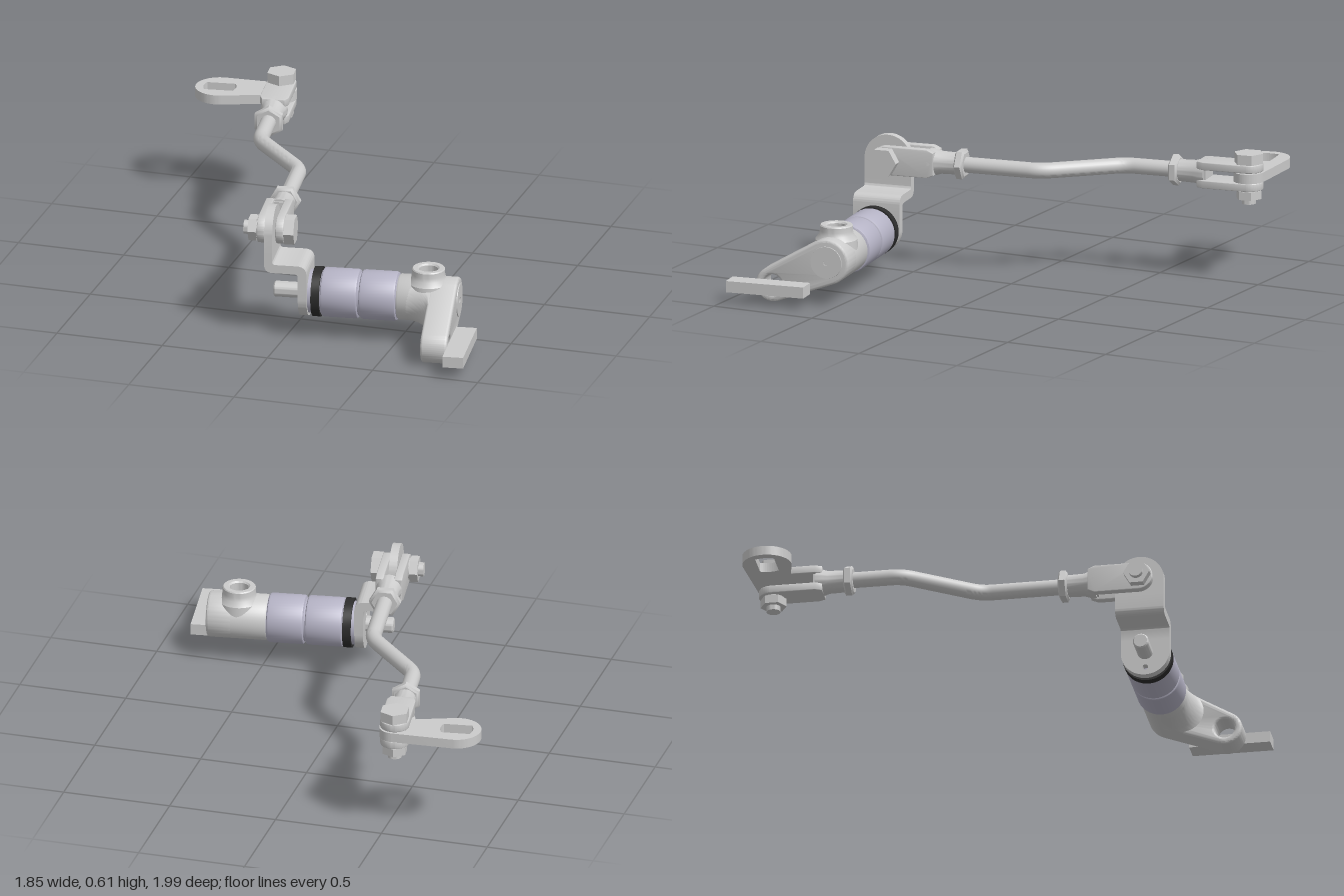
import * as THREE from 'three';
import { toCreasedNormals } from 'three/addons/utils/BufferGeometryUtils.js';

const grey = new THREE.MeshStandardMaterial({ color: 0xcccccc });
const sleeveGrey = new THREE.MeshStandardMaterial({ color: 0xb6b4c6 });
const black = new THREE.MeshStandardMaterial({ color: 0x2c2c2c });

const AXIS_Y = 0.208, AXIS_Z = 0.648; // shaft axis, parallel to x

function add(parent, name, geo, mat = grey, x = 0, y = 0, z = 0) {
  const mesh = new THREE.Mesh(toCreasedNormals(geo, 0.6), mat);
  mesh.name = name;
  mesh.position.set(x, y, z);
  parent.add(mesh);
  return mesh;
}

// Turned part along x from [x, radius] points
function turned(points) {
  const profile = points.map(([x, r]) => new THREE.Vector2(r, x));
  return new THREE.LatheGeometry(profile, 48).rotateZ(-Math.PI / 2);
}

// Straight hex prism or rod along x from x0 to x1
function prismX(r, x0, x1, sides) {
  return new THREE.CylinderGeometry(r, r, x1 - x0, sides).rotateZ(Math.PI / 2).translate((x0 + x1) / 2, 0, 0);
}

// Outline around two circles
function twoCircles(ax, ay, ar, bx, by, br) {
  const dir = Math.atan2(by - ay, bx - ax);
  const open = Math.acos((ar - br) / Math.hypot(bx - ax, by - ay));
  const s = new THREE.Shape();
  s.absarc(ax, ay, ar, dir + open, dir - open + Math.PI * 2, false);
  s.absarc(bx, by, br, dir - open, dir + open, false);
  return s;
}

function extrude(shape, depth, bevel = 0) {
  const geo = new THREE.ExtrudeGeometry(shape, {
    depth: depth - 2 * bevel, curveSegments: 24, bevelEnabled: bevel > 0,
    bevelThickness: bevel, bevelSize: bevel, bevelOffset: -bevel, bevelSegments: 3,
  });
  return geo.translate(0, 0, bevel);
}

// Shape drawn in (-z, y), thickness running from x0 to x1
function extrudeX(shape, x0, x1, bevel) {
  return extrude(shape, x1 - x0, bevel).rotateY(Math.PI / 2).translate(x0, 0, 0);
}

// Half-round plate: round end at y = cy, square end at y = yEnd
function roundPlate(cy, r, yEnd) {
  const s = new THREE.Shape();
  const up = yEnd > cy;
  s.moveTo(-AXIS_Z + (up ? r : -r), yEnd);
  s.lineTo(-AXIS_Z + (up ? -r : r), yEnd);
  s.absarc(-AXIS_Z, cy, r, up ? Math.PI : 0, up ? Math.PI * 2 : Math.PI, false);
  return s;
}

// Clevis with bolt along x at the origin, neck and lock nut toward +z
function makeFork(name) {
  const g = new THREE.Group();
  g.name = name;
  const prong = new THREE.Shape();
  prong.moveTo(0, 0.066);
  prong.absarc(0, 0, 0.066, Math.PI / 2, -Math.PI / 2, true);
  prong.lineTo(-0.2, -0.066);
  prong.lineTo(-0.232, -0.052);
  prong.lineTo(-0.232, 0.052);
  prong.lineTo(-0.2, 0.066);
  for (const x of [-0.061, 0.024]) add(g, 'forkProng', extrudeX(prong, x, x + 0.037, 0.004));
  add(g, 'forkBridge', new THREE.BoxGeometry(0.06, 0.104, 0.04), grey, 0, 0, 0.211);
  add(g, 'forkNeck', turned([[0.2, 0], [0.2, 0.062], [0.23, 0.06], [0.255, 0.052], [0.335, 0.05], [0.335, 0]])
    .rotateY(-Math.PI / 2));
  // lock nut with chamfered faces
  const nut = new THREE.LatheGeometry([[0, 0], [0.06, 0], [0.073, 0.008], [0.073, 0.034], [0.06, 0.042], [0, 0.042]]
    .map(([r, y]) => new THREE.Vector2(r, y)), 6).rotateX(Math.PI / 2);
  add(g, 'lockNut', nut, grey, 0, 0, 0.328).rotation.z = Math.PI / 6;
  add(g, 'boltShank', prismX(0.032, -0.128, 0.062, 24));
  add(g, 'boltHead', prismX(0.069, 0.061, 0.108, 6));
  add(g, 'boltWasher', prismX(0.05, -0.068, -0.06, 24));
  add(g, 'boltNut', prismX(0.06, -0.104, -0.066, 6));
  return g;
}

export function createModel() {
  const root = new THREE.Group();
  root.name = 'leverLinkage';
  const model = new THREE.Group();
  model.name = 'assembly';
  model.rotation.y = 0.139;
  root.add(model);

  // Shaft with its sleeves and seal
  const shaftPart = (name, pts, mat) => add(model, name, turned(pts), mat, 0, AXIS_Y, AXIS_Z);
  shaftPart('shaftPin', [[-0.164, 0], [-0.164, 0.03], [-0.158, 0.036], [0, 0.036]]);
  shaftPart('shaftCore', [[0, 0], [0, 0.1], [0.43, 0.1], [0.43, 0]], sleeveGrey);
  shaftPart('sealRing', [[0.02, 0], [0.02, 0.114], [0.058, 0.114], [0.058, 0]], black);
  for (const [a, b] of [[0.061, 0.231], [0.239, 0.408]]) {
    shaftPart('sleeve', [[a, 0.09], [a, 0.104], [a + 0.004, 0.11], [a + 0.012, 0.113],
      [b - 0.012, 0.113], [b - 0.004, 0.11], [b, 0.104], [b, 0.09]], sleeveGrey);
  }

  // Housing with a hollow boss on top
  shaftPart('housing', [[0.41, 0], [0.41, 0.1], [0.418, 0.105], [0.6, 0.105], [0.6, 0]]);
  add(model, 'housingBoss', new THREE.LatheGeometry([[0.1, 0.21], [0.096, 0.29], [0.079, 0.312], [0.075, 0.33],
    [0.075, 0.352], [0.071, 0.357], [0.05, 0.357], [0.043, 0.35], [0.043, 0.27], [0, 0.27]]
    .map(([r, y]) => new THREE.Vector2(r, y)), 48), grey, 0.545, 0, AXIS_Z);

  // Crank arm with an eye at its lower end
  const endZ = 0.908, endY = 0.085;
  const armShape = twoCircles(-AXIS_Z, AXIS_Y, 0.105, -endZ, endY, 0.08);
  armShape.holes.push(new THREE.Path().absarc(-endZ, endY, 0.046, 0, Math.PI * 2, true));
  add(model, 'crankArm', extrudeX(armShape, 0.561, 0.685, 0.012));
  shaftPart('endPlug', [[0.68, 0.076], [0.689, 0.074], [0.689, 0.013], [0.675, 0.012], [0.675, 0]]);

  // Fillet flowing from the housing into the arm
  const pos = [], idx = [], steps = 8;
  let n = 0;
  for (let i = 0; i <= steps; i++) {
    const t = i / steps, f = 0.002 + 0.45 * (1 - Math.sqrt(1 - t * t));
    const ring = twoCircles(-AXIS_Z, AXIS_Y, 0.104, THREE.MathUtils.lerp(-AXIS_Z, -endZ, f),
      THREE.MathUtils.lerp(AXIS_Y, endY, f), 0.104 - 0.024 * f).getPoints(20);
    n = ring.length;
    for (const p of ring) pos.push(p.x, p.y, 0.45 + 0.125 * t);
  }
  for (let i = 0; i < steps; i++) for (let j = 0; j < n; j++) {
    const a = i * n + j, b = i * n + (j + 1) % n;
    idx.push(a, b, b + n, a, b + n, a + n);
  }
  const fillet = new THREE.BufferGeometry();
  fillet.setAttribute('position', new THREE.Float32BufferAttribute(pos, 3));
  fillet.setIndex(idx);
  add(model, 'armFillet', fillet.rotateY(Math.PI / 2));

  // Flat bar beside the arm
  add(model, 'pedalBar', new THREE.BoxGeometry(0.095, 0.052, 0.372), grey, 0.732, 0.082, 0.911);

  // Stepped bracket: lower flange, double bend, upper ear
  const flange = roundPlate(AXIS_Y, 0.112, 0.27);
  for (const dy of [-0.075, 0.05])
    flange.holes.push(new THREE.Path().absarc(-AXIS_Z, AXIS_Y + dy, 0.013, 0, Math.PI * 2, true));
  add(model, 'bracketFlange', extrudeX(flange, -0.038, 0.002));
  add(model, 'bracketEar', extrudeX(roundPlate(0.5, 0.112, 0.42), -0.193, -0.155));
  const step = new THREE.Shape();
  step.moveTo(-0.193, 0.42);
  step.lineTo(-0.193, 0.367);
  step.quadraticCurveTo(-0.193, 0.327, -0.153, 0.327);
  step.lineTo(-0.053, 0.327);
  step.quadraticCurveTo(-0.038, 0.327, -0.038, 0.312);
  step.lineTo(-0.038, 0.27);
  step.lineTo(0.002, 0.27);
  step.lineTo(0.002, 0.322);
  step.quadraticCurveTo(0.002, 0.367, -0.043, 0.367);
  step.lineTo(-0.14, 0.367);
  step.quadraticCurveTo(-0.155, 0.367, -0.155, 0.382);
  step.lineTo(-0.155, 0.42);
  add(model, 'bracketStep', extrude(step, 0.224), grey, 0, 0, AXIS_Z - 0.112);

  // Forks at both ends of the rod
  const frontFork = makeFork('frontFork');
  frontFork.position.set(-0.174, 0.5, AXIS_Z);
  frontFork.rotation.x = Math.PI;
  const rearFork = makeFork('rearFork');
  rearFork.position.set(-0.409, 0.496, -0.997);
  rearFork.rotation.z = Math.PI / 2;
  model.add(frontFork, rearFork);

  // Rod with two bends
  const v = (x, z) => new THREE.Vector3(x, 0.498, z);
  const path = new THREE.CurvePath();
  path.add(new THREE.LineCurve3(v(-0.174, 0.34), v(-0.172, -0.03)));
  path.add(new THREE.QuadraticBezierCurve3(v(-0.172, -0.03), v(-0.171, -0.08), v(-0.207, -0.129)));
  path.add(new THREE.LineCurve3(v(-0.207, -0.129), v(-0.378, -0.363)));
  path.add(new THREE.QuadraticBezierCurve3(v(-0.378, -0.363), v(-0.409, -0.405), v(-0.409, -0.455)));
  path.add(new THREE.LineCurve3(v(-0.409, -0.455), v(-0.409, -0.69)));
  add(model, 'linkRod', new THREE.TubeGeometry(path, 90, 0.036, 24));

  // Slotted lever held by the rear fork, drawn in (x, -z)
  const lever = twoCircles(-0.69, 0.978, 0.112, -0.409, 0.997, 0.07);
  const slot = new THREE.Path();
  slot.moveTo(-0.755, 0.935);
  slot.quadraticCurveTo(-0.775, 0.978, -0.755, 1.021);
  slot.lineTo(-0.625, 1.021);
  slot.quadraticCurveTo(-0.605, 0.978, -0.625, 0.935);
  slot.closePath();
  lever.holes.push(slot);
  add(model, 'slottedLever', extrude(lever, 0.044).rotateX(-Math.PI / 2), grey, 0, 0.473, 0);

  return root;
}
